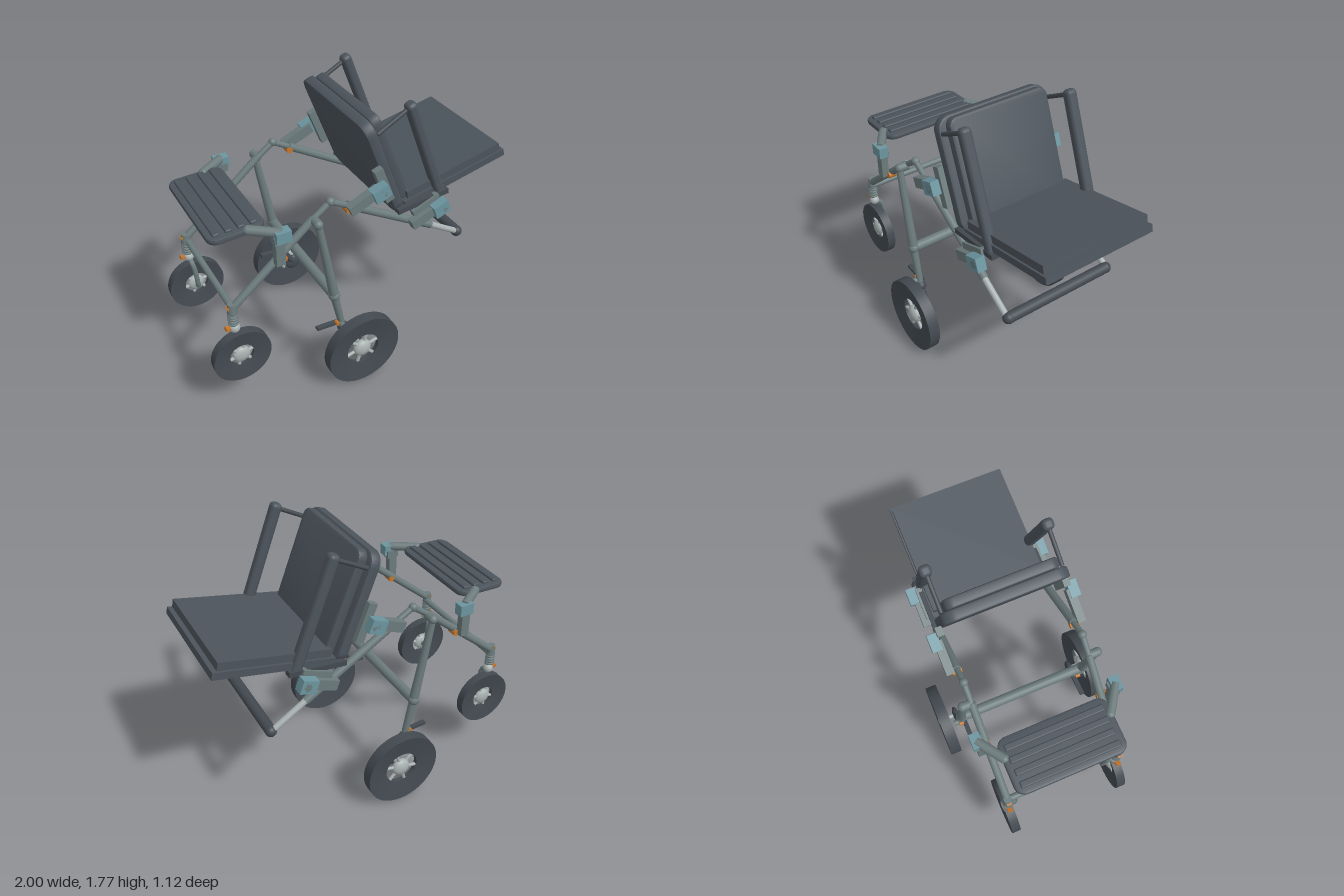
import * as THREE from 'three';
import { toCreasedNormals } from 'three/addons/utils/BufferGeometryUtils.js';
import { RoundedBoxGeometry } from 'three/addons/geometries/RoundedBoxGeometry.js';

const material = (name, color) => {
  const m = new THREE.MeshStandardMaterial({ color });
  m.name = name;
  return m;
};

export function createModel() {
  const model = new THREE.Group();
  model.name = 'stroller';
  const fabric = material('slate fabric', 0x4c545c);
  const rubber = material('dark rubber', 0x434a50);
  const frame = material('grey green frame', 0x6c7b7c);
  const teal = material('teal clamp', 0x6c95a0);
  const metal = material('light metal', 0xa8b0b0);
  const orange = material('orange pin', 0xc4762c);
  const UP = new THREE.Vector3(0, 1, 0);
  const V = (p) => new THREE.Vector3(...p);

  function add(name, geo, mat, parent = model) {
    const mesh = new THREE.Mesh(geo, mat);
    mesh.name = name;
    parent.add(mesh);
    return mesh;
  }
  function rod(name, mat, a, b, r, r2 = r, parent = model) {
    const d = V(b).sub(V(a));
    const mesh = add(name, new THREE.CylinderGeometry(r2, r, d.length(), 18), mat, parent);
    mesh.position.copy(V(a)).addScaledVector(d, 0.5);
    mesh.quaternion.setFromUnitVectors(UP, d.normalize());
    return mesh;
  }
  function ball(name, mat, p, r, flat = 1, parent = model) {
    const mesh = add(name, new THREE.SphereGeometry(r, 20, 14), mat, parent);
    mesh.position.set(...p);
    mesh.scale.z = flat;
    return mesh;
  }
  // Box lying along a line in the xy plane
  function beam(name, mat, [x0, y0], [x1, y1], thick, z, width, round = 0) {
    const len = Math.hypot(x1 - x0, y1 - y0);
    const geo = round ? new RoundedBoxGeometry(len, thick, width, 3, round)
      : new THREE.BoxGeometry(len, thick, width);
    const mesh = add(name, geo, mat);
    mesh.position.set((x0 + x1) / 2, (y0 + y1) / 2, z);
    mesh.rotation.z = Math.atan2(y1 - y0, x1 - x0);
    return mesh;
  }
  // Cushion with rounded outline, running along a line and centred on z = 0
  function pad(name, mat, [x0, y0], [x1, y1], halfW, thick, r) {
    const b = 0.012, h = Math.hypot(x1 - x0, y1 - y0) / 2 - b, w = halfW - b;
    const s = new THREE.Shape();
    s.moveTo(-w + r, -h);
    s.lineTo(w - r, -h);
    s.absarc(w - r, -h + r, r, -Math.PI / 2, 0);
    s.absarc(w - r, h - r, r, 0, Math.PI / 2);
    s.absarc(-w + r, h - r, r, Math.PI / 2, Math.PI);
    s.absarc(-w + r, -h + r, r, Math.PI, Math.PI * 1.5);
    const geo = new THREE.ExtrudeGeometry(s, {
      depth: thick - 2 * b, bevelEnabled: true, bevelSize: b, bevelThickness: b, bevelSegments: 2, curveSegments: 8,
    });
    geo.translate(0, 0, -thick / 2 + b);
    const u = new THREE.Vector3(x1 - x0, y1 - y0, 0).normalize();
    const side = new THREE.Vector3(0, 0, -1);
    geo.applyMatrix4(new THREE.Matrix4().makeBasis(side, u, side.clone().cross(u)));
    const mesh = add(name, toCreasedNormals(geo, 0.6), mat);
    mesh.position.set((x0 + x1) / 2, (y0 + y1) / 2, 0);
  }
  // Dished tyre, spokes and hub
  function wheel(name, [x, y, z], r, inner, half, hubR) {
    const g = new THREE.Group();
    g.name = name;
    g.position.set(x, y, z);
    model.add(g);
    const k = half * 0.4;
    const profile = [[inner, -k], [r, -half], [r, half], [inner, k], [inner, -k]].map((p) => new THREE.Vector2(...p));
    add('tyre', toCreasedNormals(new THREE.LatheGeometry(profile, 48), 0.5), rubber, g).rotation.x = Math.PI / 2;
    for (let i = 0; i < 6; i++) {
      const a = (i / 6) * Math.PI * 2 + 0.25, c = Math.cos(a), s = Math.sin(a);
      rod('spoke', metal, [c * 0.03, s * 0.03, 0], [c * (inner + 0.01), s * (inner + 0.01), 0], 0.011, 0.011, g);
    }
    ball('hub', metal, [0, 0, 0], hubR, half / hubR, g);
  }

  // Seat and backrest
  pad('backrest shell', fabric, [0.255, 1.06], [0.008, 1.7], 0.37, 0.065, 0.07);
  pad('backrest cushion', fabric, [0.32, 1.09], [0.072, 1.715], 0.33, 0.06, 0.04);
  beam('seat base', fabric, [0.28, 1.098], [0.995, 1.252], 0.045, 0, 0.73);
  beam('seat cushion', fabric, [0.3, 1.155], [0.958, 1.296], 0.05, 0, 0.71);

  // Ribbed footrest
  pad('footrest', fabric, [-0.925, 1.237], [-0.59, 1.25], 0.335, 0.035, 0.05);
  for (let i = 0; i < 4; i++) {
    const x = -0.87 + i * 0.072;
    beam('footrest rib', fabric, [x - 0.02, 1.259 + i * 0.003], [x + 0.02, 1.261 + i * 0.003], 0.022, 0, 0.6, 0.008);
  }

  // Cross bars
  rod('rear cross bar', frame, [-0.23, 0.66, -0.4], [-0.23, 0.66, 0.4], 0.032);
  rod('front cross bar', frame, [-0.84, 0.77, -0.36], [-0.84, 0.77, 0.36], 0.02);
  rod('push handle', rubber, [0.695, 0.755, -0.36], [0.695, 0.755, 0.36], 0.034);

  for (const s of [-1, 1]) {
    const zt = 0.365 * s, zl = 0.42 * s, zb = 0.42 * s;

    // Frame tubes and folding joint
    rod('front tube', frame, [-0.85, 0.79, zt], [-0.33, 1.225, zt], 0.023);
    rod('folding link', frame, [-0.34, 1.215, zt], [-0.225, 1.3, zt], 0.018);
    ball('folding joint', frame, [-0.225, 1.3, zt], 0.026);
    rod('joint link', frame, [-0.225, 1.3, zt], [-0.1, 1.228, zt], 0.018);
    rod('handle tube', frame, [-0.12, 1.24, zt], [0.475, 0.89, zt], 0.025);
    rod('handle extension', metal, [0.47, 0.893, zt], [0.695, 0.755, zt], 0.019);
    ball('handle end', rubber, [0.695, 0.755, 0.36 * s], 0.035);
    rod('leg pivot', frame, [-0.33, 1.215, zt], [-0.33, 1.215, zl], 0.027);
    ball('leg pivot cap', frame, [-0.33, 1.215, zl], 0.028);

    // Rear leg, brake and wheel
    rod('rear leg', frame, [-0.23, 0.66, zl], [-0.33, 1.215, zl], 0.03, 0.021);
    rod('lower rear leg', frame, [-0.17, 0.37, zl], [-0.23, 0.66, zl], 0.02, 0.026);
    ball('leg collar', frame, [-0.23, 0.66, zl], 0.036);
    rod('swing arm', rubber, [-0.17, 0.38, zl], [-0.09, 0.25, 0.43 * s], 0.022);
    ball('axle knob', rubber, [-0.09, 0.25, 0.43 * s], 0.055, 0.4);
    ball('shock knob', rubber, [-0.17, 0.38, zl], 0.035);
    rod('rear axle', metal, [-0.09, 0.25, 0.43 * s], [-0.09, 0.25, 0.52 * s], 0.014);
    beam('brake pedal', rubber, [-0.34, 0.42], [-0.18, 0.41], 0.018, 0.4 * s, 0.03);
    rod('brake pin', frame, [-0.19, 0.42, 0.4 * s], [-0.19, 0.42, 0.47 * s], 0.018);
    rod('brake bolt', orange, [-0.21, 0.43, 0.41 * s], [-0.21, 0.43, 0.44 * s], 0.014);
    wheel('rear wheel', [-0.09, 0.247, 0.523 * s], 0.245, 0.11, 0.036, 0.06);

    // Front caster with spring
    rod('caster head', frame, [-0.85, 0.76, zt], [-0.85, 0.825, zt], 0.03, 0.024);
    rod('spring shaft', frame, [-0.85, 0.64, zt], [-0.85, 0.78, zt], 0.016);
    for (let i = 0; i < 5; i++) {
      const coil = add('spring coil', new THREE.TorusGeometry(0.023, 0.008, 8, 18), frame);
      coil.position.set(-0.85, 0.685 + i * 0.019, zt);
      coil.rotation.set(Math.PI / 2 + 0.15, 0, 0);
    }
    ball('caster knuckle', metal, [-0.845, 0.645, zt], 0.032);
    beam('caster lock', orange, [-0.9, 0.655], [-0.865, 0.645], 0.018, zt, 0.03);
    beam('head pin', orange, [-0.875, 0.79], [-0.86, 0.8], 0.03, zt, 0.03);
    const forkPath = new THREE.CatmullRomCurve3([[-0.845, 0.635, 0.36], [-0.842, 0.615, 0.325], [-0.835, 0.57, 0.31],
      [-0.825, 0.45, 0.31], [-0.82, 0.42, 0.325], [-0.82, 0.42, 0.36]].map(([x, y, z]) => new THREE.Vector3(x, y, z * s)));
    add('caster fork', new THREE.TubeGeometry(forkPath, 28, 0.016, 10), frame);
    wheel('front wheel', [-0.82, 0.42, 0.366 * s], 0.18, 0.075, 0.028, 0.055);

    // Footrest bracket
    beam('footrest post', frame, [-0.565, 1.03], [-0.565, 1.2], 0.055, 0.41 * s, 0.045);
    beam('footrest clamp', teal, [-0.595, 1.228], [-0.505, 1.228], 0.07, 0.425 * s, 0.06);
    beam('footrest clamp foot', frame, [-0.6, 1.2], [-0.52, 1.2], 0.05, 0.41 * s, 0.05);
    rod('footrest arm', frame, [-0.7, 1.25, 0.32 * s], [-0.55, 1.245, 0.425 * s], 0.028);
    ball('footrest arm end', frame, [-0.7, 1.25, 0.32 * s], 0.028);
    rod('post pin', orange, [-0.53, 1.04, 0.34 * s], [-0.53, 1.04, 0.4 * s], 0.02);
    rod('tube pin', orange, [-0.12, 1.22, 0.34 * s], [-0.12, 1.22, 0.4 * s], 0.02);

    // Seat brackets: upper behind the backrest, lower under the seat
    beam('upper bracket', frame, [-0.13, 1.23], [0.06, 1.31], 0.065, 0.41 * s, 0.05);
    beam('upper clamp', teal, [0.01, 1.285], [0.105, 1.325], 0.085, 0.43 * s, 0.06);
    beam('upper seat mount', frame, [0.06, 1.43], [0.15, 1.2], 0.055, 0.385 * s, 0.04);
    rod('upper bolt', frame, [0.07, 1.31, zb], [0.07, 1.31, 0.46 * s], 0.026);
    beam('lower bracket', frame, [0.3, 0.98], [0.48, 1.05], 0.065, 0.41 * s, 0.05);
    beam('lower clamp', teal, [0.44, 1.035], [0.535, 1.07], 0.085, 0.43 * s, 0.06);
    beam('lower seat mount', frame, [0.32, 1.04], [0.5, 1.11], 0.05, 0.385 * s, 0.04);
    rod('lower bolt', frame, [0.5, 1.055, zb], [0.5, 1.055, 0.46 * s], 0.026);

    // Side guard: padded bar parallel to the backrest with its links
    beam('side guard', fabric, [0.535, 1.09], [0.272, 1.77], 0.065, 0.352 * s, 0.07, 0.025);
    rod('guard top link', rubber, [0.075, 1.63, 0.352 * s], [0.27, 1.735, 0.352 * s], 0.013);
    beam('guard base', rubber, [0.22, 1.08], [0.575, 1.12], 0.032, 0.365 * s, 0.05);
  }
  return model;
}
